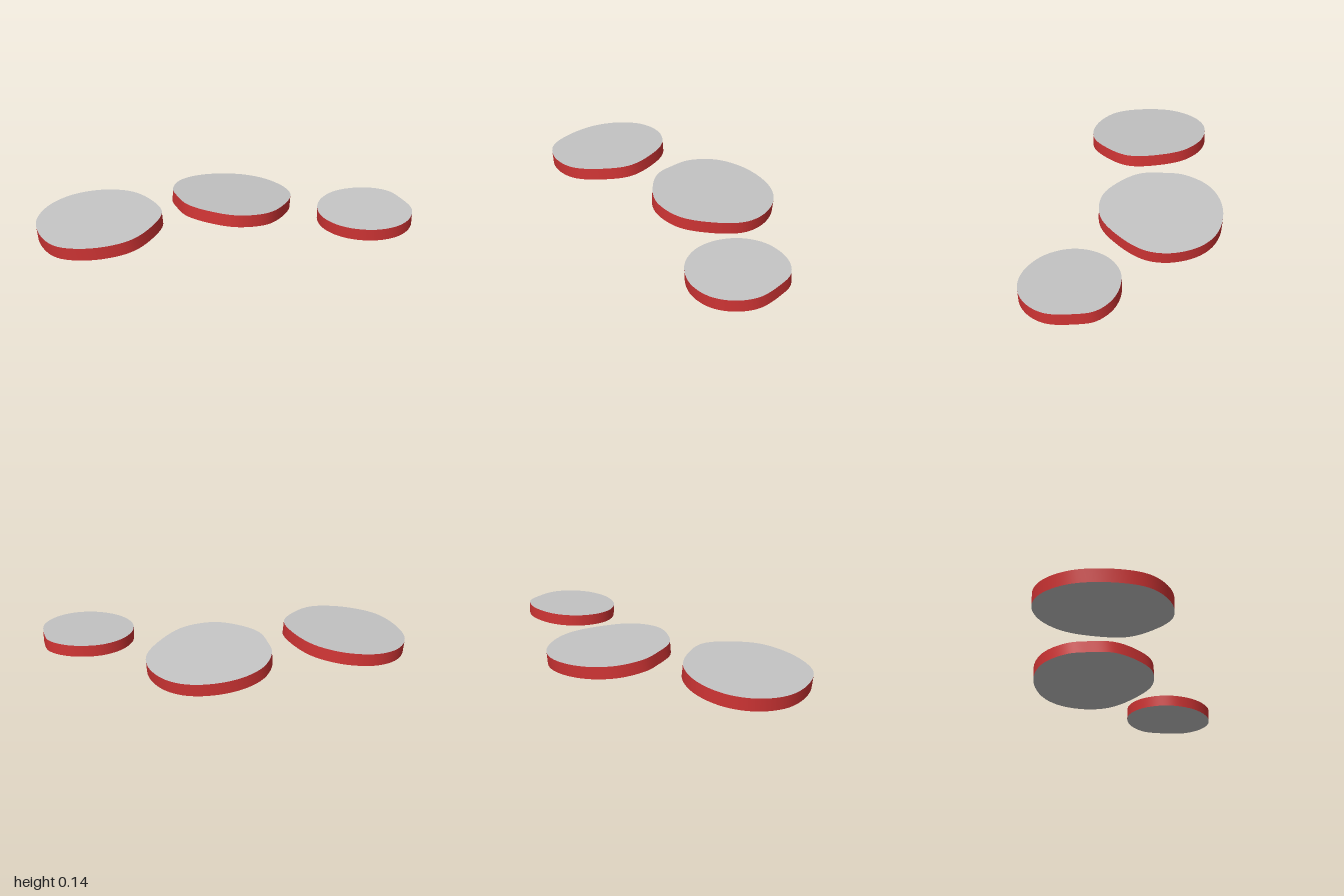
import * as THREE from 'three';
import { toCreasedNormals } from 'three/addons/utils/BufferGeometryUtils.js';

const face = new THREE.MeshStandardMaterial({ color: 0xc4c4c4 });
face.name = 'pale grey face';
const rim = new THREE.MeshStandardMaterial({ color: 0xcf3434 });
rim.name = 'red rim';

// Each slab: outline seen from above as [x, z], centre, thickness and tilt (rise per unit of x and z)
const slabs = [
  {
    name: 'rightSlab', center: [-0.667, 0.079, 0.162], thickness: 0.067, slopeX: 0.075, slopeZ: -0.038,
    outline: [[-0.68, -0.17], [-0.52, -0.122], [-0.41, -0.01], [-0.335, 0.16], [-0.385, 0.32], [-0.49, 0.447],
      [-0.67, 0.494], [-0.85, 0.447], [-0.955, 0.31], [-1, 0.13], [-0.955, -0.03], [-0.845, -0.135]],
  },
  {
    name: 'middleSlab', center: [0.04, 0.062, -0.165], thickness: 0.067, slopeX: -0.066, slopeZ: 0.06,
    outline: [[0.06, -0.5], [0.17, -0.48], [0.265, -0.42], [0.345, -0.31], [0.37, -0.195], [0.33, -0.05],
      [0.22, 0.112], [0.055, 0.17], [-0.1, 0.125], [-0.21, 0.045], [-0.265, -0.07], [-0.294, -0.18],
      [-0.265, -0.32], [-0.19, -0.413], [-0.08, -0.475]],
  },
  {
    name: 'leftSlab', center: [0.745, 0.066, 0.05], thickness: 0.063, slopeX: 0.012, slopeZ: -0.042,
    outline: [[0.79, -0.2], [0.91, -0.153], [0.965, -0.06], [1, 0.07], [0.965, 0.185], [0.88, 0.268],
      [0.75, 0.3], [0.61, 0.26], [0.52, 0.165], [0.494, 0.05], [0.53, -0.075], [0.63, -0.17]],
  },
];

function makeSlab({ name, center, thickness, slopeX, slopeZ, outline }) {
  const [cx, , cz] = center;
  // Smooth closed outline around the slab's centre
  const curve = new THREE.CatmullRomCurve3(
    outline.map(([x, z]) => new THREE.Vector3(x - cx, cz - z, 0)), true);
  const points = curve.getSpacedPoints(96).slice(0, -1).map((p) => new THREE.Vector2(p.x, p.y));
  // Flat caps and a straight, smooth rim
  let geometry = new THREE.ExtrudeGeometry(new THREE.Shape(points), { depth: thickness, bevelEnabled: false });
  geometry.translate(0, 0, -thickness / 2).rotateX(-Math.PI / 2);
  geometry = toCreasedNormals(geometry, Math.PI / 5);
  const mesh = new THREE.Mesh(geometry, [face, rim]);
  mesh.name = name;
  mesh.rotation.set(-slopeZ, 0, slopeX);
  mesh.position.set(...center);
  return mesh;
}

export function createModel() {
  const model = new THREE.Group();
  model.name = 'threeSlabs';
  slabs.forEach((slab) => model.add(makeSlab(slab)));
  return model;
}
